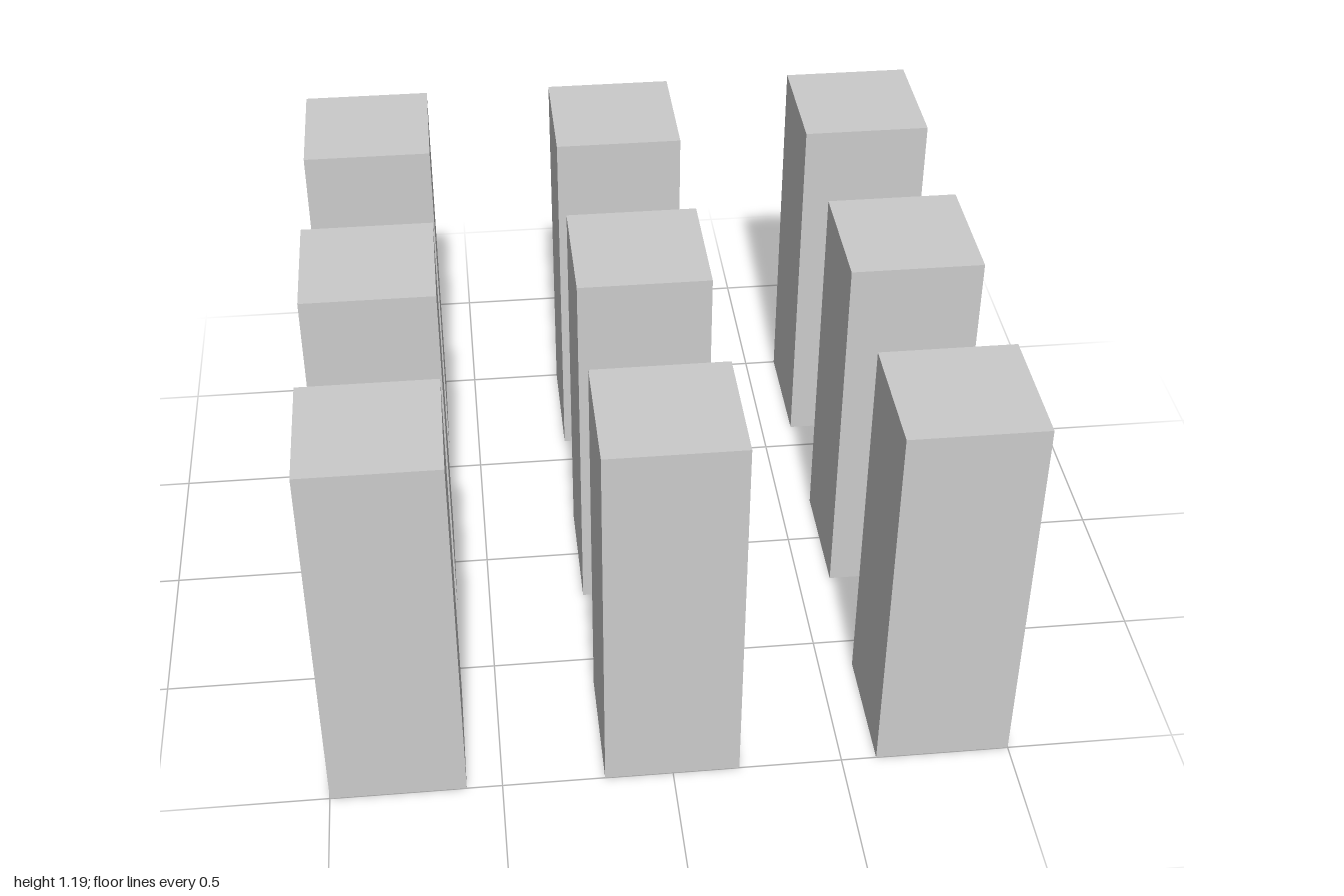
import * as THREE from 'three';

// Three-by-three grid of identical square pillars
export function createModel() {
  const group = new THREE.Group();
  group.name = 'pillarGrid';

  const width = 0.396;
  const height = 1.19;
  const edge = 1 - width / 2; // centre of the outer rows

  const material = new THREE.MeshStandardMaterial({ color: 0xcccccc, flatShading: true });
  const geometry = new THREE.BoxGeometry(width, height, width);

  // Columns from right to left, rows from back to front; the middle row sits slightly forward
  [-edge, -0.002, edge].forEach((x, column) => {
    [-edge, 0.005, edge].forEach((z, row) => {
      const pillar = new THREE.Mesh(geometry, material);
      pillar.name = `pillarRow${row + 1}Column${column + 1}`;
      pillar.position.set(x, height / 2, z);
      group.add(pillar);
    });
  });

  return group;
}
